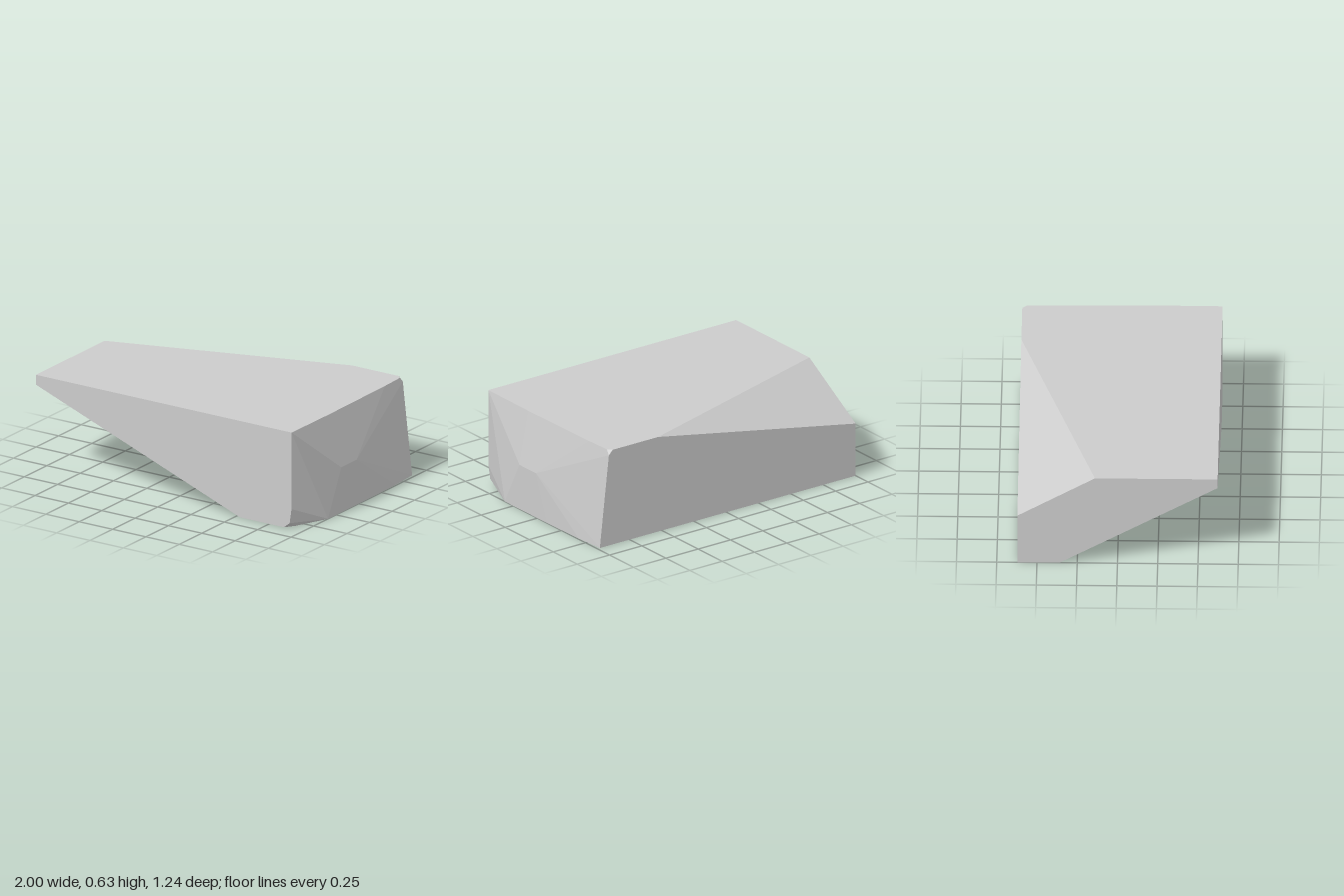
import * as THREE from 'three';
import { ConvexGeometry } from 'three/addons/geometries/ConvexGeometry.js';

export function createModel() {
  const group = new THREE.Group();
  group.name = 'cutStone';

  const stoneGrey = new THREE.MeshStandardMaterial({ color: 0xcccccc });
  stoneGrey.name = 'stone grey';

  const H = 0.635; // height
  const D = 0.622; // half depth

  // Corners of the block, grouped by the cut they belong to
  const corners = [
    // narrow end, trimmed above at the back and below at the front
    [-1, H, D], [-1, 0.57, D], [-1, 0, -0.36], [-1, 0, -D], [-1, 0.35, -D], [-1, H, -0.14],
    // where the two long slanted cuts run out
    [0.53, 0, D], [0.53, H, -D],
    // top edge of the broad end, with its chipped back corner
    [0.918, H, D], [0.921, H, 0.2], [0.912, H, -0.42], [0.905, H, -0.595],
    [0.88, H, -D], [0.91, 0.605, -D],
    // chipped lower front corner
    [0.917, 0.13, D], [0.903, 0.035, D], [0.86, 0, D], [0.905, 0, 0.56],
    // bulging broad end
    [1, 0, 0.34], [1, 0, -0.1], [0.993, 0, -0.42], [0.98, 0, -D],
    [0.998, 0.295, 0.19], [0.998, 0.295, 0.02],
  ].map((p) => new THREE.Vector3(...p));

  const block = new THREE.Mesh(new ConvexGeometry(corners), stoneGrey);
  block.name = 'stoneBlock';
  group.add(block);
  return group;
}
